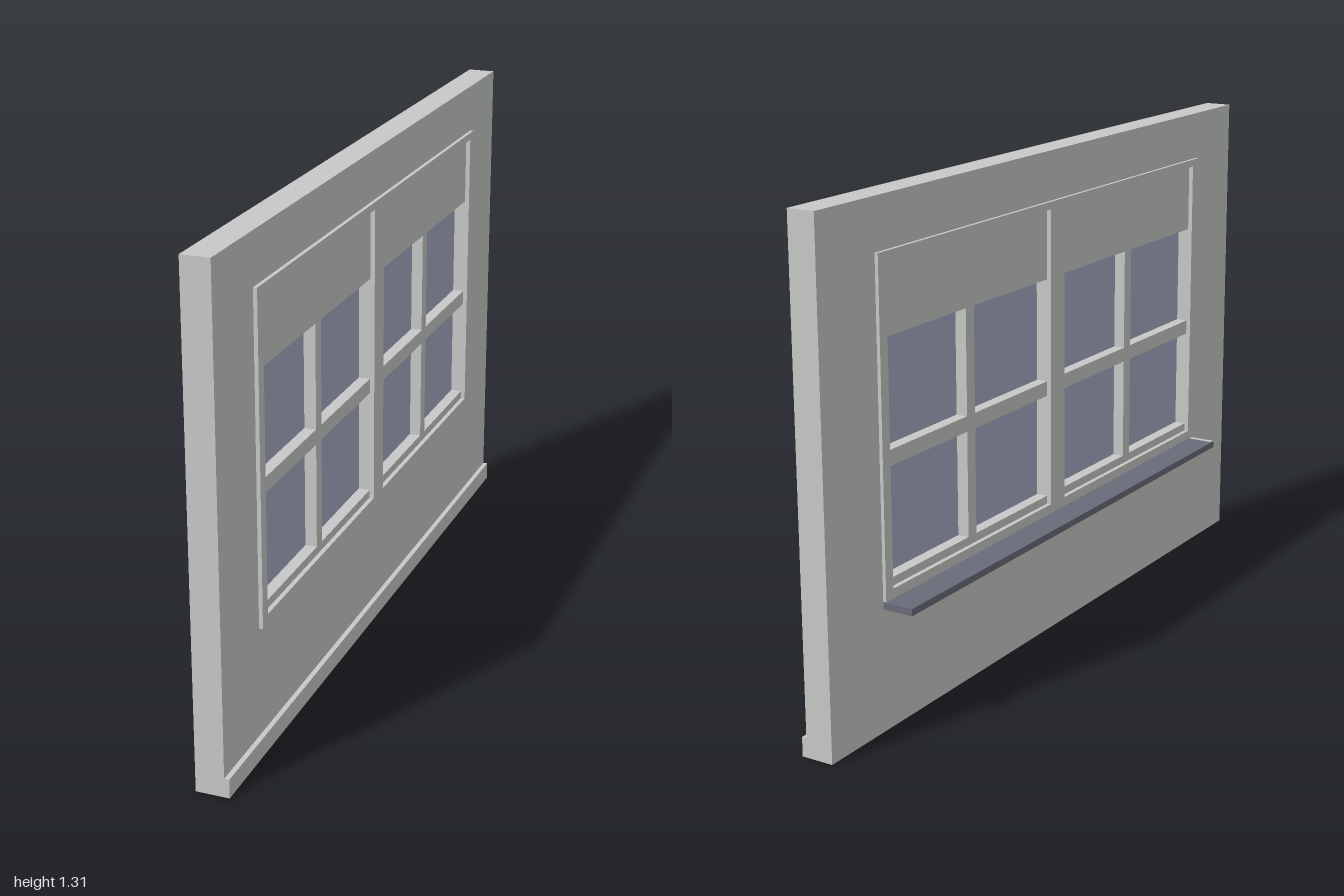
import * as THREE from 'three';

function material(name, color) {
  const m = new THREE.MeshStandardMaterial({ color });
  m.name = name;
  return m;
}

export function createModel() {
  const model = new THREE.Group();
  model.name = 'wallWithWindow';
  const plaster = material('pale grey', 0xc6c8c6);
  const glass = material('blue grey glass', 0xa4a9c0);
  const dark = material('dark slate', 0x6a6b7a);

  // Box given by its limits on each axis
  function box(name, mat, [x0, x1], [y0, y1], [z0, z1], parent = model) {
    const mesh = new THREE.Mesh(new THREE.BoxGeometry(x1 - x0, y1 - y0, z1 - z0), mat);
    mesh.position.set((x0 + x1) / 2, (y0 + y1) / 2, (z0 + z1) / 2);
    mesh.name = name;
    parent.add(mesh);
    return mesh;
  }

  // Upright slab with rectangular openings, its thickness running along x
  function slab(name, mat, [x0, x1], outline, openings) {
    const trace = (path, [u0, u1, y0, y1]) => {
      path.moveTo(u0, y0);
      path.lineTo(u1, y0);
      path.lineTo(u1, y1);
      path.lineTo(u0, y1);
      path.closePath();
      return path;
    };
    const shape = trace(new THREE.Shape(), outline);
    openings.forEach(o => shape.holes.push(trace(new THREE.Path(), o)));
    const geo = new THREE.ExtrudeGeometry(shape, { depth: x1 - x0, bevelEnabled: false });
    geo.rotateY(Math.PI / 2);
    const mesh = new THREE.Mesh(geo, mat);
    mesh.position.x = x0;
    mesh.name = name;
    model.add(mesh);
  }

  // Wall and skirting board
  slab('wall', plaster, [-0.003, 0.071], [-1, 1, 0, 1.31], [[-0.785, 0.785, 0.335, 1.18]]);
  box('skirting', plaster, [0.071, 0.084], [0, 0.05], [-1, 1]);

  // Outer frame with its centre post, proud of the wall on both sides
  slab('windowFrame', plaster, [-0.012, 0.081], [-0.785, 0.785, 0.335, 1.18],
    [[-0.755, -0.035, 0.36, 1.16], [0.035, 0.755, 0.36, 1.16]]);

  // Two sashes: blind box, rails, glazing bar and panes
  for (const side of [-1, 1]) {
    const sash = new THREE.Group();
    sash.name = side > 0 ? 'frontSash' : 'backSash';
    model.add(sash);
    const span = (a, b) => (side > 0 ? [a, b] : [-b, -a]);
    const depth = [0, 0.069];
    const full = span(0.035, 0.755);
    box('blindBox', plaster, depth, [0.975, 1.16], full, sash);
    box('middleRail', plaster, depth, [0.66, 0.7], full, sash);
    box('bottomRail', plaster, depth, [0.36, 0.382], full, sash);
    for (const [y0, y1] of [[0.382, 0.66], [0.7, 0.975]]) {
      box('glazingBar', plaster, depth, [y0, y1], span(0.378, 0.414), sash);
      for (const [a, b] of [[0.035, 0.378], [0.414, 0.755]]) {
        box('pane', glass, [0.031, 0.038], [y0, y1], span(a, b), sash);
      }
    }
  }

  // Sill on the outer face, with a pale edge strip at one end
  box('sill', dark, [-0.086, -0.003], [0.315, 0.333], [-0.785, 0.78]);
  box('sillEdge', plaster, [-0.084, -0.012], [0.333, 0.334], [0.767, 0.78]);

  return model;
}
